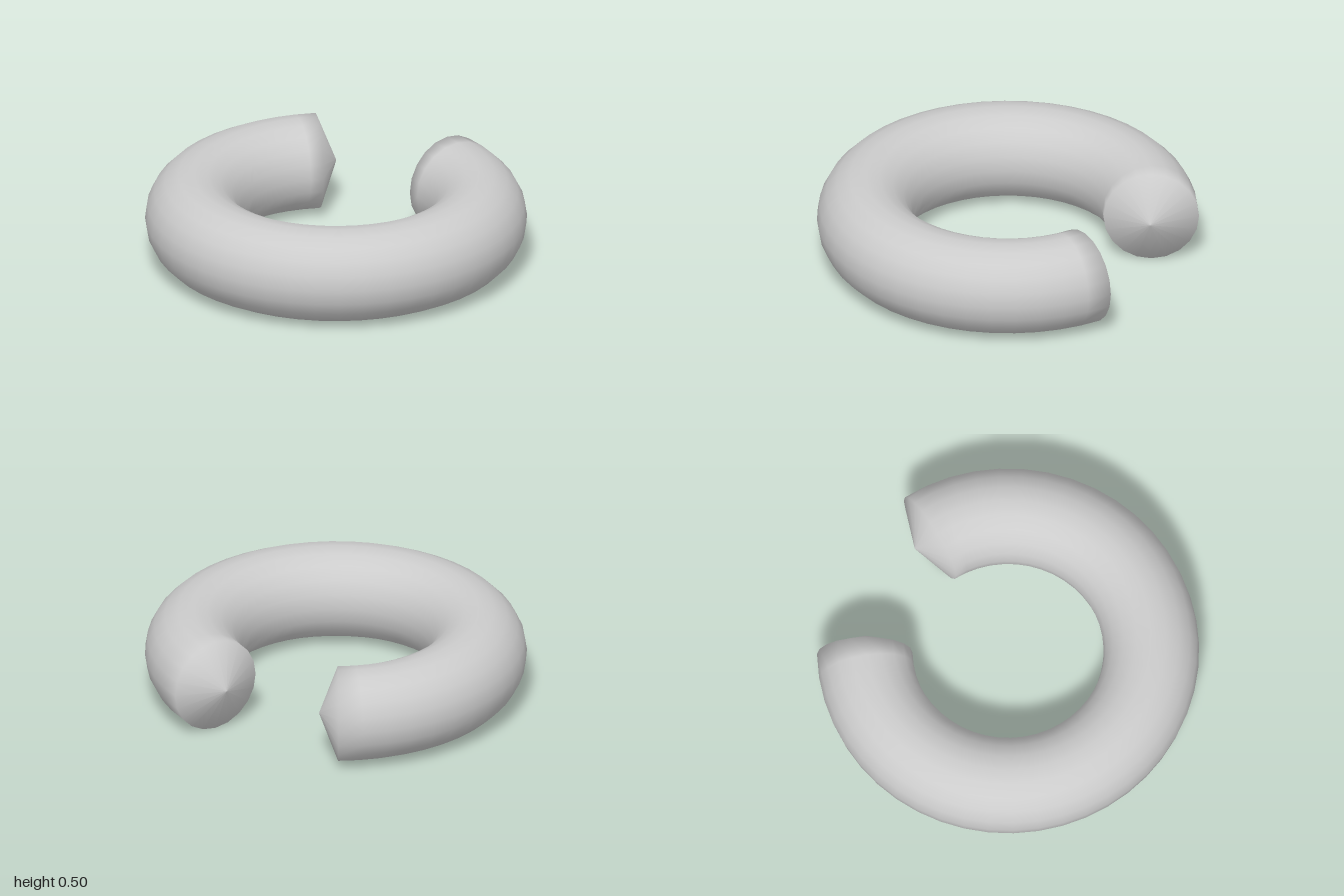
import * as THREE from 'three';

const SIDES = 20;      // around the tube
const STEPS = 42;      // along the arc, including the two pointed ends
const RING = 0.75;     // centre line radius
const TUBE = 0.25;     // tube radius
const START = THREE.MathUtils.degToRad(17.7);   // tip on the left, measured from the back
const END = THREE.MathUtils.degToRad(334.8);    // tip on the right

// Round sections swept along an open ring; the first and last shrink to a point
function openRing() {
  const positions = [], index = [];
  for (let i = 0; i <= STEPS; i++) {
    const a = THREE.MathUtils.lerp(START, END, i / STEPS);
    const r = i === 0 || i === STEPS ? 0 : TUBE;
    for (let j = 0; j < SIDES; j++) {
      const b = (j / SIDES) * Math.PI * 2;
      const d = RING + r * Math.cos(b);
      positions.push(d * Math.sin(a), r * Math.sin(b), -d * Math.cos(a));
    }
  }
  for (let i = 0; i < STEPS; i++) {
    for (let j = 0; j < SIDES; j++) {
      const k = (j + 1) % SIDES;
      const p = i * SIDES, q = p + SIDES;
      if (i > 0) index.push(p + j, p + k, q + j);
      if (i < STEPS - 1) index.push(q + j, p + k, q + k);
      // closing fans at the two tips
      // (only the triangle with a real edge is kept there)
    }
  }
  const geometry = new THREE.BufferGeometry();
  geometry.setAttribute('position', new THREE.Float32BufferAttribute(positions, 3));
  geometry.setIndex(index);
  geometry.computeVertexNormals();
  return geometry;
}

export function createModel() {
  const group = new THREE.Group();
  group.name = 'openRing';
  const ring = new THREE.Mesh(openRing(), new THREE.MeshStandardMaterial({ color: 0xcccccc }));
  ring.name = 'ringBody';
  ring.position.set(0, TUBE, -0.05);
  group.add(ring);
  return group;
}
